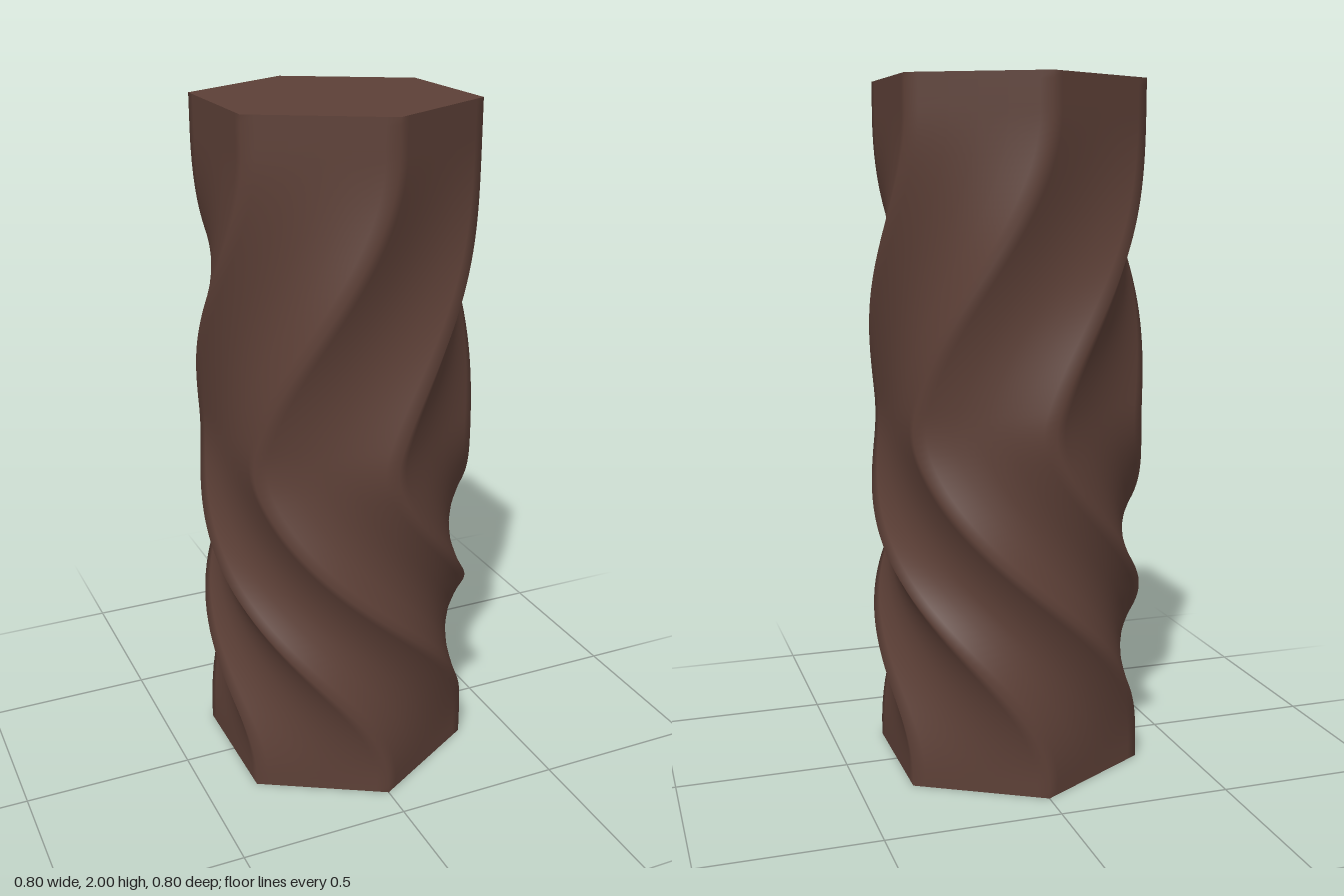
import * as THREE from 'three';

const SIDES = 6, RADIUS = 0.4, HEIGHT = 2, ROWS = 96;
const EDGE_STOPS = [0, 0.09, 0.3, 0.5, 0.7, 0.91, 1]; // tight loops beside each ridge

// Twist in radians: a 120 degree turn, then 60 degrees back
function twist(y) {
  const turn = -120 * THREE.MathUtils.smoothstep(y, 0.04, 1.09);
  const back = 60 * THREE.MathUtils.smoothstep(y, 0.95, 1.9);
  return THREE.MathUtils.degToRad(turn + back);
}

const corner = (k) => {
  const a = (k * Math.PI * 2) / SIDES;
  return new THREE.Vector2(Math.sin(a), Math.cos(a)).multiplyScalar(RADIUS);
};

// Twisted faces; the ridge vertices are shared so shading rolls over the narrow edge bands
function twistedSides() {
  const outline = [];
  for (let k = 0; k < SIDES; k++) {
    for (const t of EDGE_STOPS.slice(0, -1)) outline.push(corner(k).lerp(corner(k + 1), t));
  }
  const n = outline.length, positions = [], indices = [];
  for (let r = 0; r <= ROWS; r++) {
    const y = (r / ROWS) * HEIGHT, c = Math.cos(twist(y)), s = Math.sin(twist(y));
    for (const p of outline) positions.push(p.x * c + p.y * s, y, p.y * c - p.x * s);
  }
  for (let r = 0; r < ROWS; r++) {
    for (let i = 0; i < n; i++) {
      const a = r * n + i, b = r * n + ((i + 1) % n);
      indices.push(a, b, b + n, a, b + n, a + n);
    }
  }
  const geometry = new THREE.BufferGeometry();
  geometry.setAttribute('position', new THREE.Float32BufferAttribute(positions, 3));
  geometry.setIndex(indices);
  geometry.computeVertexNormals();
  return geometry;
}

export function createModel() {
  const group = new THREE.Group();
  group.name = 'twistedHexagonalColumn';
  const material = new THREE.MeshStandardMaterial({ color: 0x5d4037 });

  const sides = new THREE.Mesh(twistedSides(), material);
  sides.name = 'twistedSides';
  group.add(sides);

  // Flat hexagonal ends
  for (const [name, y, tilt] of [['topCap', HEIGHT, -1], ['bottomCap', 0, 1]]) {
    const geometry = new THREE.CircleGeometry(RADIUS, SIDES, Math.PI / 2);
    geometry.rotateX((tilt * Math.PI) / 2);
    const cap = new THREE.Mesh(geometry, material);
    cap.name = name;
    cap.position.y = y;
    cap.rotation.y = twist(y);
    group.add(cap);
  }
  return group;
}
